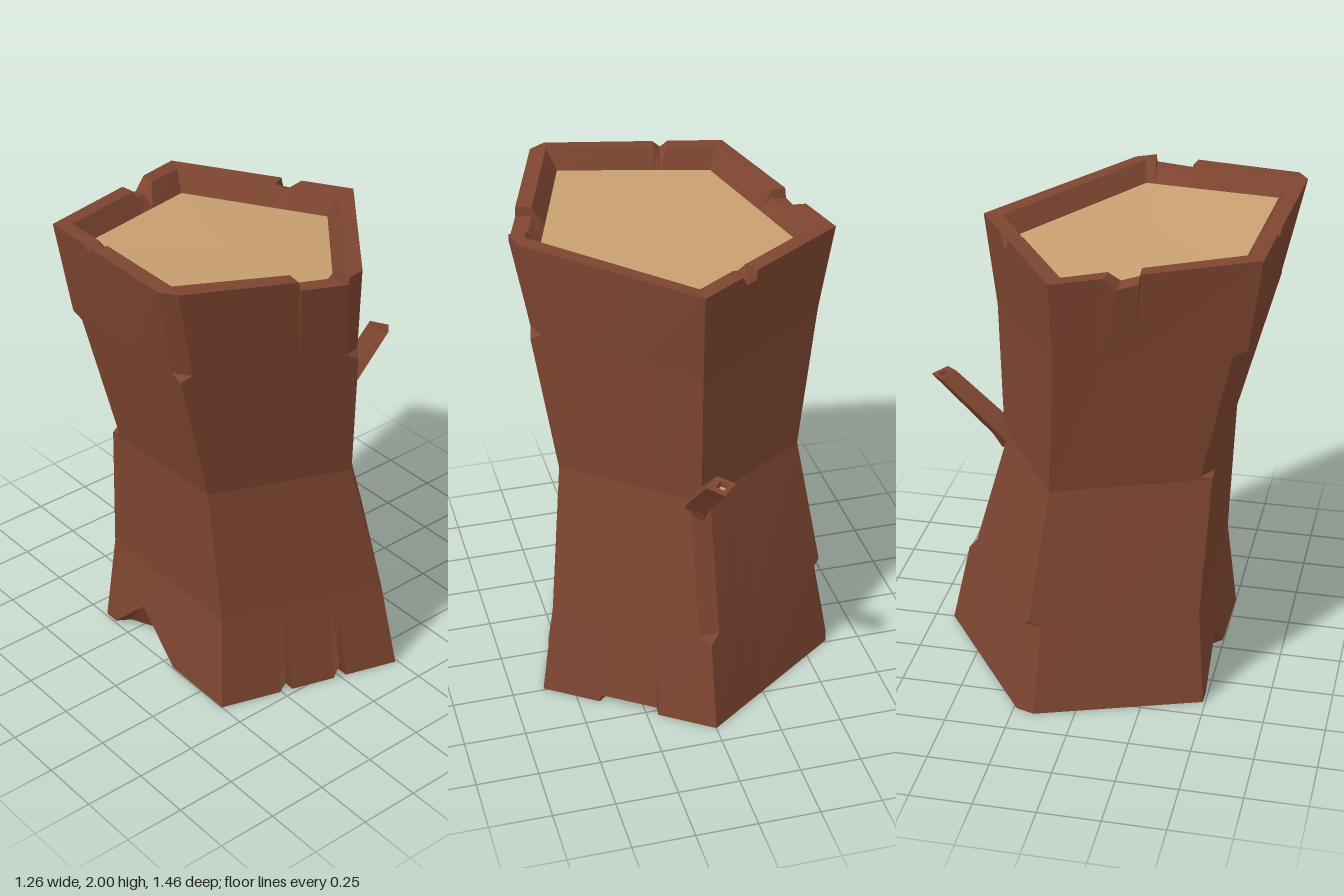
import * as THREE from 'three';

const V = (x, y, z) => new THREE.Vector3(x, y, z);

// Corner positions of the five-sided trunk at five levels, in the order
// front-right, right, back, left, front-left
const LEVELS = [
  [[.385, 0, .50], [.62, 0, -.24], [0, 0, -.67], [-.65, 0, -.21], [-.41, 0, .49]],
  [[.34, .4, .46], [.56, .38, -.2], [0, .36, -.59], [-.58, .4, -.19], [-.37, .4, .46]],
  [[.30, 1, .49], [.49, .97, -.08], [0, .94, -.425], [-.49, .95, -.12], [-.31, .98, .49]],
  [[.35, 1.6, .65], [.575, 1.55, -.02], [0, 1.5, -.44], [-.57, 1.54, -.08], [-.36, 1.58, .62]],
  [[.39, 2, .74], [.64, 1.94, .03], [.01, 1.88, -.49], [-.63, 1.89, -.08], [-.39, 1.95, .67]],
];

// Nicks along each side: [position along side, outer depth, inner depth]
const TOP = [
  [[.67, 0, 0], [.68, .035, .035], [.925, .03, .03], [.93, 0, 0]],
  [],
  [[.28, 0, 0], [.31, .04, .01], [.38, .04, 0], [.39, 0, 0]],
  [[.25, 0, 0], [.32, .05, .04], [.42, .04, .03], [.43, 0, 0]],
  [[.29, 0, 0], [.33, .025, .025], [.37, 0, 0]],
];
const BOTTOM = [
  [[.33, 0, 0], [.36, .04, .04], [.40, 0, 0], [.64, 0, 0], [.67, .07, .06], [.71, 0, 0]],
  [[.33, 0, 0], [.34, .035, .035], [.66, .035, .035], [.67, 0, 0]],
  [],
  [],
  [[.08, 0, 0], [.34, .2, .07], [.59, 0, 0]],
];
// Every ring shares the same points along a side
const STEPS = TOP.map((n, s) =>
  [...new Set([...n, ...BOTTOM[s]].map(a => a[0]))].sort((a, b) => a - b));

// Depth of the nicks at a place along one side
function nick(list, u, k) {
  const pts = [[0, 0, 0], ...list, [1, 0, 0]];
  const i = pts.findIndex((p, n) => n > 0 && p[0] >= u);
  const a = pts[i - 1], b = pts[i];
  return THREE.MathUtils.lerp(a[k], b[k], (u - a[0]) / (b[0] - a[0]));
}

// One ring around the trunk; the corners in chips are cut off
function ring(t, chips = [], { scale = 1, dy = 0, edge = null, inner = false } = {}) {
  const i = Math.min(3, Math.floor(t));
  const corners = LEVELS[i].map((p, c) => V(...p).lerp(V(...LEVELS[i + 1][c]), t - i));
  const mid = corners.reduce((m, c) => m.add(c), V(0, 0, 0)).multiplyScalar(1 / 5);
  corners.forEach(c => {
    c.x = mid.x + (c.x - mid.x) * scale;
    c.z = mid.z + (c.z - mid.z) * scale;
    c.y += dy;
  });
  const out = [];
  corners.forEach((a, s) => {
    const e = (s + 1) % 5, b = corners[e], len = a.distanceTo(b);
    const from = chips.includes(s) ? .05 / len : 0;
    const to = chips.includes(e) ? 1 - .05 / len : 1;
    for (const step of [from, ...STEPS[s], to]) {
      const u = THREE.MathUtils.clamp(step, from, to);
      const p = a.clone().lerp(b, u);
      if (edge === 'top') p.y -= nick(TOP[s], u, inner ? 2 : 1);
      if (edge === 'bottom') p.y += nick(BOTTOM[s], u, inner ? 2 : 1);
      out.push(p);
    }
  });
  return out;
}

// Flat-faced geometry from triangles, leaving out collapsed ones
function fromTriangles(tris) {
  const pos = [];
  for (const [a, b, c] of tris) {
    const area = b.clone().sub(a).cross(c.clone().sub(a)).length();
    if (area > 1e-8) for (const p of [a, b, c]) pos.push(p.x, p.y, p.z);
  }
  const g = new THREE.BufferGeometry();
  g.setAttribute('position', new THREE.Float32BufferAttribute(pos, 3));
  g.computeVertexNormals();
  return g;
}

function loft(rings) {
  const tris = [];
  for (let r = 0; r < rings.length - 1; r++) {
    const lo = rings[r], hi = rings[r + 1];
    lo.forEach((a, i) => {
      const j = (i + 1) % lo.length;
      tris.push([a, lo[j], hi[j]], [a, hi[j], hi[i]]);
    });
  }
  return fromTriangles(tris);
}

function cap(points, down = false) {
  const c = points.reduce((m, p) => m.add(p), V(0, 0, 0)).multiplyScalar(1 / points.length);
  return fromTriangles(points.map((p, i) => {
    const q = points[(i + 1) % points.length];
    return down ? [c, q, p] : [c, p, q];
  }));
}

export function createModel() {
  const bark = new THREE.MeshStandardMaterial({ color: 0x7d4530 });
  bark.name = 'bark';
  const wood = new THREE.MeshStandardMaterial({ color: 0xc8a070 });
  wood.name = 'cut wood';

  const group = new THREE.Group();
  group.name = 'treeStump';
  const add = (name, geometry, material) => {
    const m = new THREE.Mesh(geometry, material);
    m.name = name;
    group.add(m);
  };

  // Trunk: from the hollow underside, up the bark, over the rim to the cut top
  const under = ring(0, [], { scale: .82, dy: .08 });
  const top = ring(4, [], { scale: .8, dy: -.08 });
  const [A, B, C, D, E] = [0, 1, 2, 3, 4];
  add('trunk', loft([
    under,
    ring(0, [], { scale: .89, edge: 'bottom', inner: true }),
    ring(0, [D], { edge: 'bottom' }),
    ring(.94, [D]),
    ring(1, []),
    ring(1.05, [C]),
    ring(1.97, [C]),
    ring(2, []),
    ring(2.03, [E]),
    ring(2.95, [E]),
    ring(2.98, []),
    ring(3.04, [A, B]),
    ring(4, [A, B], { edge: 'top' }),
    ring(4, [], { scale: .885, edge: 'top', inner: true }),
    top,
  ]), bark);
  add('cutTop', cap(top), wood);
  add('underside', cap(under, true), wood);

  // Branch stub on the back corner, a four-sided bar with a hollow tip
  const diamond = (x, y, z, w, d, tilt) => [
    V(x + w, y, z), V(x, y - tilt, z - d), V(x - w, y, z), V(x, y + tilt, z + d),
  ];
  const hole = diamond(-.01, 1.155, -.67, .022, .02, .005);
  add('branch', loft([
    diamond(0, .9, -.39, .06, .045, .045),
    diamond(0, .96, -.445, .06, .03, .045),
    diamond(-.005, 1.177, -.672, .058, .052, .012),
    diamond(-.01, 1.177, -.672, .027, .024, .006),
    hole,
  ]), bark);
  add('branchCut', cap(hole), wood);

  return group;
}
